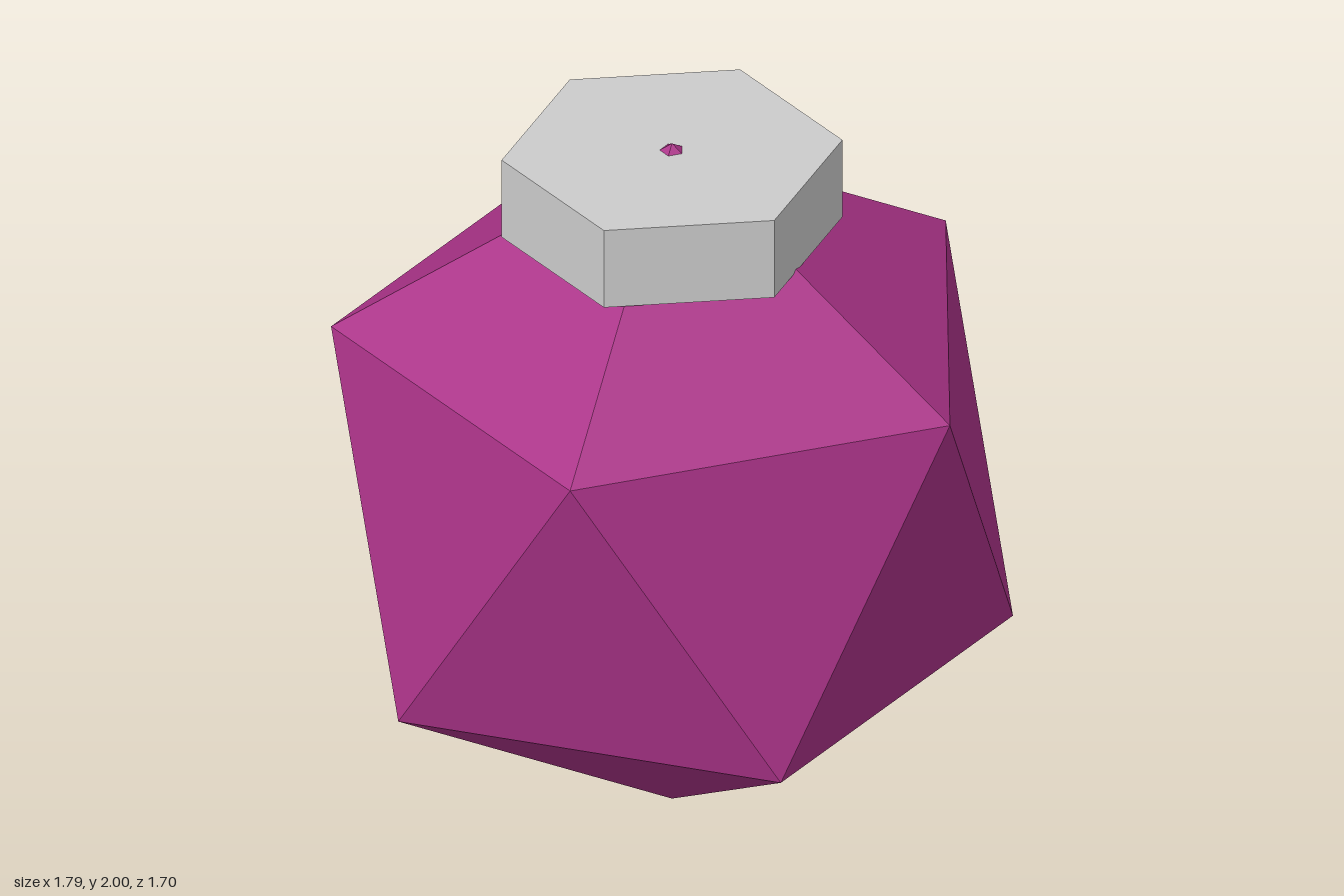
import * as THREE from 'three';

export function createModel() {
  const group = new THREE.Group();
  const purple = new THREE.MeshStandardMaterial({ color: 0xaa3388, flatShading: true });
  const grey = new THREE.MeshStandardMaterial({ color: 0xcccccc, flatShading: true });

  // Faceted body: an icosahedron tipped to stand on one vertex, with an upper-ring vertex on +x
  const golden = (1 + Math.sqrt(5)) / 2;
  const bodyGeometry = new THREE.IcosahedronGeometry(1, 0);
  bodyGeometry.rotateZ(-Math.atan(1 / golden));
  const body = new THREE.Mesh(bodyGeometry, purple);
  body.name = 'body';
  body.position.y = 1;
  group.add(body);

  // Hexagonal cap; the body's tip just pierces its top
  const bottom = 1.745, top = 1.98;
  const cap = new THREE.Mesh(new THREE.CylinderGeometry(0.45, 0.45, top - bottom, 6), grey);
  cap.name = 'cap';
  cap.position.y = (bottom + top) / 2;
  group.add(cap);

  return group;
}
